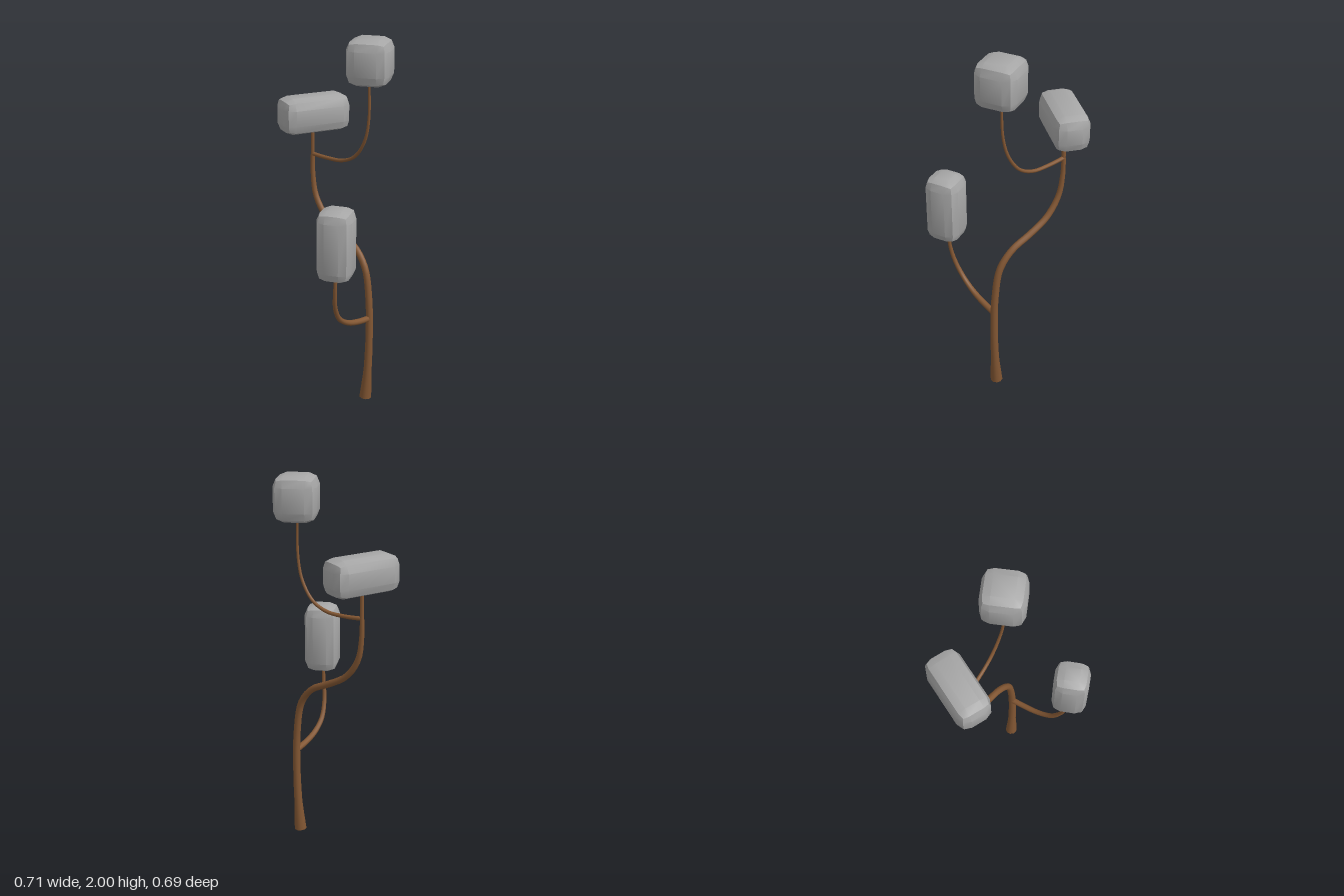
import * as THREE from 'three';
import { toCreasedNormals } from 'three/addons/utils/BufferGeometryUtils.js';
import { RoundedBoxGeometry } from 'three/addons/geometries/RoundedBoxGeometry.js';

const bark = new THREE.MeshStandardMaterial({ color: 0x835733 });
bark.name = 'bark brown';
const foliage = new THREE.MeshStandardMaterial({ color: 0xa6a6a6 });
foliage.name = 'foliage grey';

// Tapered tube: points are [x, y, z], radii are spread evenly along the length
function branch(name, points, radii, segments) {
  const curve = new THREE.CatmullRomCurve3(points.map((p) => new THREE.Vector3(...p)));
  const sides = 10;
  const geo = new THREE.TubeGeometry(curve, segments, 1, sides, false);
  const pos = geo.attributes.position;
  const v = new THREE.Vector3();
  for (let i = 0; i <= segments; i++) {
    const c = curve.getPointAt(i / segments);
    const t = (i / segments) * (radii.length - 1);
    const k = Math.min(Math.floor(t), radii.length - 2);
    const r = THREE.MathUtils.lerp(radii[k], radii[k + 1], t - k);
    for (let j = 0; j <= sides; j++) {
      const n = i * (sides + 1) + j;
      v.fromBufferAttribute(pos, n).sub(c).multiplyScalar(r).add(c);
      pos.setXYZ(n, v.x, v.y, v.z);
    }
  }
  const mesh = new THREE.Mesh(geo, bark);
  mesh.name = name;
  return mesh;
}

// Softly rounded block: each face bends over to meet its neighbours at one seam
function block(name, size, centre, turn) {
  const radius = 0.055;
  const [w, h, d] = size.map((s) => s + 0.19 * radius);
  const geo = new RoundedBoxGeometry(w, h, d, 1, radius);
  const mesh = new THREE.Mesh(toCreasedNormals(geo, Math.PI / 6), foliage);
  mesh.name = name;
  mesh.position.set(...centre);
  mesh.rotation.y = THREE.MathUtils.degToRad(turn);
  return mesh;
}

export function createModel() {
  const tree = new THREE.Group();
  tree.name = 'tree';

  // Trunk sweeping over to the model's right, with a flared foot
  tree.add(branch('trunk', [
    [0.208, 0.005, -0.09], [0.218, 0.15, -0.092], [0.225, 0.38, -0.094], [0.217, 0.6, -0.097],
    [0.185, 0.77, -0.102], [0.11, 0.865, -0.115], [0, 0.92, -0.13], [-0.11, 0.985, -0.142],
    [-0.185, 1.09, -0.15], [-0.209, 1.22, -0.155], [-0.21, 1.35, -0.156], [-0.21, 1.5, -0.156],
  ], [0.034, 0.023, 0.021, 0.02, 0.019, 0.018, 0.018, 0.017, 0.014, 0.011, 0.009], 48));

  // Underside of the trunk
  const foot = new THREE.Mesh(new THREE.CircleGeometry(0.034, 10), bark);
  foot.name = 'trunkFoot';
  foot.rotation.x = Math.PI / 2;
  foot.position.set(0.208, 0.005, -0.09);
  tree.add(foot);

  // Side branches
  tree.add(branch('frontBranch', [
    [0.221, 0.485, -0.095], [0.217, 0.497, -0.01], [0.214, 0.525, 0.085], [0.216, 0.58, 0.165],
    [0.23, 0.67, 0.218], [0.245, 0.77, 0.238], [0.252, 0.89, 0.242],
  ], [0.017, 0.016, 0.014, 0.012, 0.01, 0.009], 28));
  tree.add(branch('topBranch', [
    [-0.21, 1.318, -0.156], [-0.11, 1.314, -0.153], [0, 1.322, -0.148], [0.085, 1.365, -0.142],
    [0.15, 1.46, -0.134], [0.18, 1.58, -0.126], [0.183, 1.82, -0.121],
  ], [0.011, 0.01, 0.009, 0.008, 0.007, 0.006], 32));

  // Foliage blocks
  tree.add(block('topFoliage', [0.212, 0.226, 0.212], [0.186, 1.887, -0.123], 22));
  tree.add(block('rightFoliage', [0.179, 0.184, 0.37], [-0.206, 1.547, -0.157], -28));
  tree.add(block('frontFoliage', [0.173, 0.368, 0.177], [0.255, 1.032, 0.242], 20));
  return tree;
}
